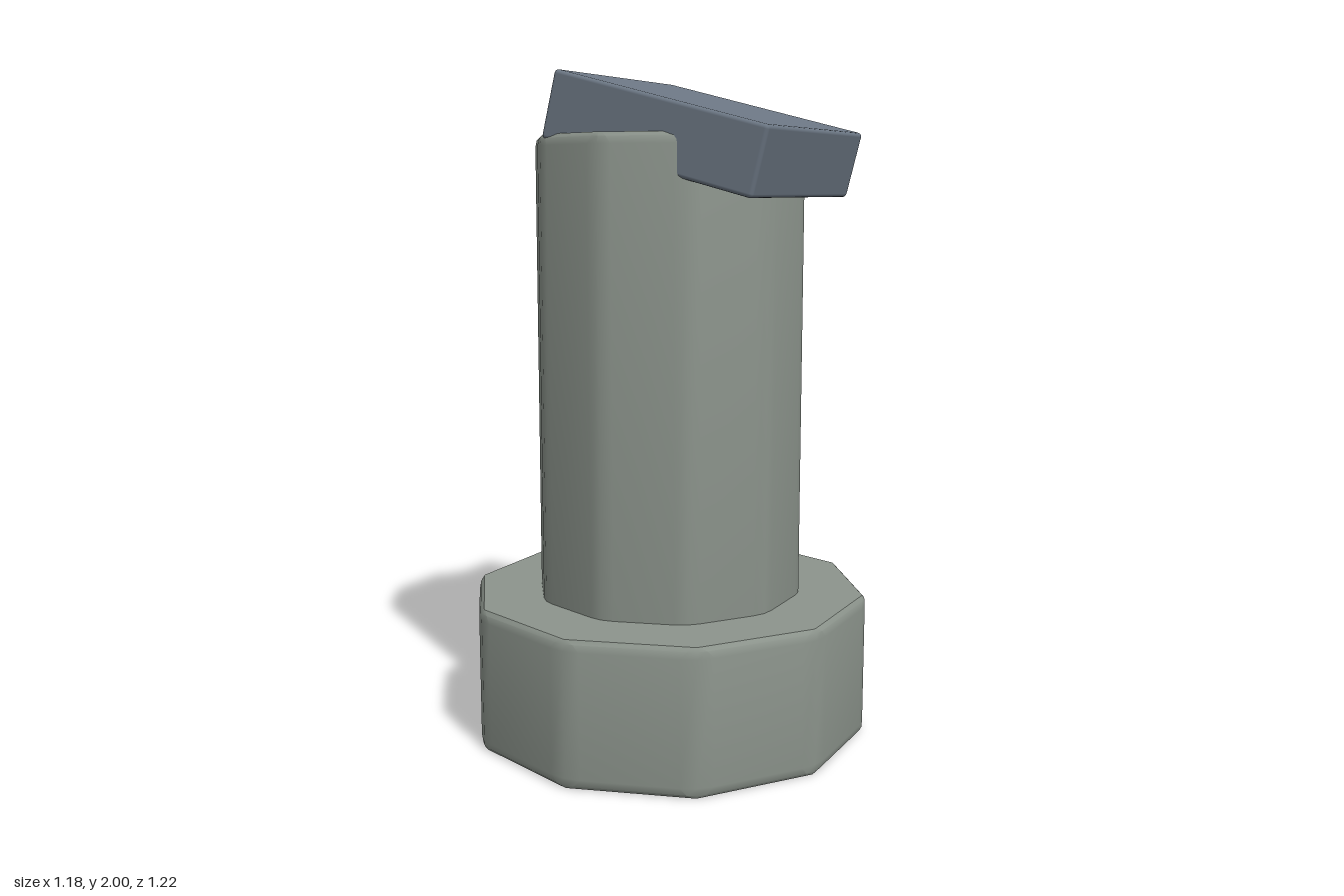
import * as THREE from 'three';
import { toCreasedNormals } from 'three/addons/utils/BufferGeometryUtils.js';
import { RoundedBoxGeometry } from 'three/addons/geometries/RoundedBoxGeometry.js';

const SIDES = 10;

// Decagon outline with each corner rounded by three points; cut = distance trimmed along each edge
function outline(radius, cut) {
  const corner = (k) => {
    const a = (k / SIDES) * Math.PI * 2;
    return new THREE.Vector2(Math.sin(a) * radius, Math.cos(a) * radius);
  };
  const edge = 2 * radius * Math.sin(Math.PI / SIDES);
  const points = [];
  for (let k = 0; k < SIDES; k++) {
    const c = corner(k);
    const before = c.clone().lerp(corner(k - 1), cut / edge);
    const after = c.clone().lerp(corner(k + 1), cut / edge);
    const middle = before.clone().add(after).multiplyScalar(0.5).lerp(c, 0.5);
    points.push(before, middle, after);
  }
  return points;
}

// Upright decagonal prism with bevelled rims and rounded vertical edges
function bevelledPrism(radius, y0, y1, cut) {
  const inset = 0.016, drop = 0.032;
  const rings = [
    [radius - inset, y0, 0.006],
    [radius - inset * 0.3, y0 + drop * 0.35, cut * 0.6],
    [radius, y0 + drop, cut],
    [radius, y1 - drop, cut],
    [radius - inset * 0.3, y1 - drop * 0.35, cut * 0.6],
    [radius - inset, y1, 0.006],
  ];
  const n = SIDES * 3;
  const positions = [], index = [];
  for (const [r, y, c] of rings) {
    for (const p of outline(r, c)) positions.push(p.x, y, p.y);
  }
  for (let j = 0; j < rings.length - 1; j++) {
    for (let i = 0; i < n; i++) {
      const a = j * n + i, b = j * n + (i + 1) % n;
      index.push(a, b, b + n, a, b + n, a + n);
    }
  }
  // Flat caps
  const bottom = positions.length / 3, top = bottom + 1, last = (rings.length - 1) * n;
  positions.push(0, y0, 0, 0, y1, 0);
  for (let i = 0; i < n; i++) {
    const next = (i + 1) % n;
    index.push(bottom, next, i, top, last + i, last + next);
  }
  const geometry = new THREE.BufferGeometry();
  geometry.setAttribute('position', new THREE.Float32BufferAttribute(positions, 3));
  geometry.setIndex(index);
  return toCreasedNormals(geometry, 0.6);
}

export function createModel() {
  const model = new THREE.Group();
  model.name = 'pedestal';
  const stone = new THREE.MeshStandardMaterial({ color: 0x8c948c });
  const slate = new THREE.MeshStandardMaterial({ color: 0x6b7683 });

  const add = (name, geometry, material) => {
    const mesh = new THREE.Mesh(geometry, material);
    mesh.name = name;
    model.add(mesh);
    return mesh;
  };

  add('base', bevelledPrism(0.62, 0, 0.435, 0.05), stone);
  add('column', bevelledPrism(0.414, 0.2, 1.82, 0.04), stone);

  // Tilted slab sunk into the column top
  const slab = add('slab', new RoundedBoxGeometry(0.687, 0.198, 0.686, 2, 0.012), slate);
  slab.position.set(0.128, 1.819, 0);
  slab.rotation.z = -0.25;

  return model;
}
